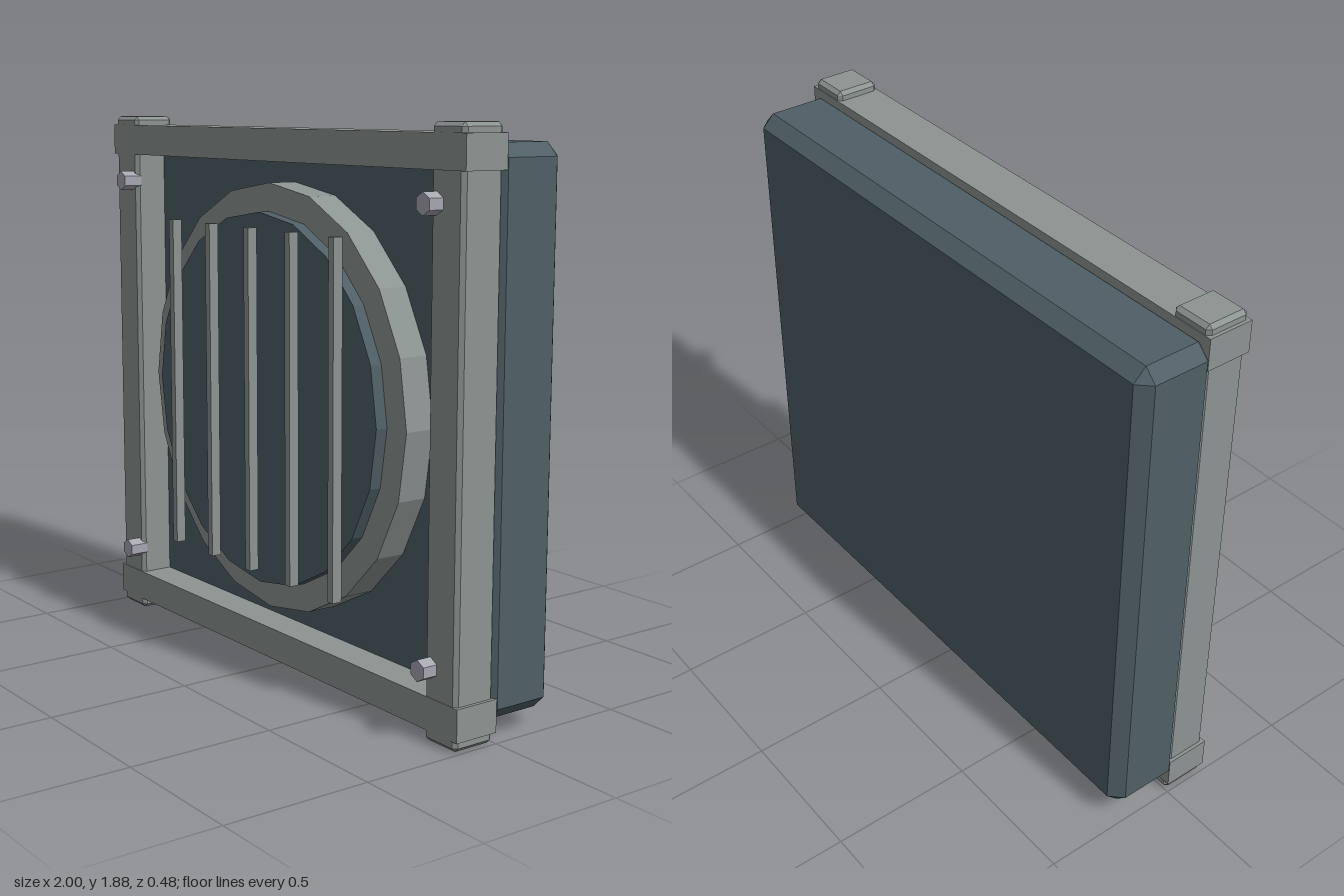
import * as THREE from 'three';
import { ConvexGeometry } from 'three/addons/geometries/ConvexGeometry.js';

const material = (color) => new THREE.MeshStandardMaterial({ color, flatShading: true });

// Box with every edge cut at 45 degrees by c
function chamferedBox(w, h, d, c) {
  const half = [w / 2, h / 2, d / 2];
  const points = [];
  for (const sx of [-1, 1]) for (const sy of [-1, 1]) for (const sz of [-1, 1]) {
    for (let full = 0; full < 3; full++) {
      const p = half.map((v, i) => (i === full ? v : v - c));
      points.push(new THREE.Vector3(p[0] * sx, p[1] * sy, p[2] * sz));
    }
  }
  return new ConvexGeometry(points);
}

// Cylinder lying along z, from z0 to z1
function discAlongZ(radius, z0, z1, sides) {
  return new THREE.CylinderGeometry(radius, radius, z1 - z0, sides)
    .rotateX(Math.PI / 2)
    .translate(0, 0, (z0 + z1) / 2);
}

export function createModel() {
  const group = new THREE.Group();
  const housingMat = material(0x4f5f66);
  const frameMat = material(0x8c9492);
  const boltMat = material(0xa6a6b0);
  const midY = 0.945;

  function add(name, geometry, mat, x = 0, y = 0, z = 0) {
    const mesh = new THREE.Mesh(geometry, mat);
    mesh.name = name;
    mesh.position.set(x, y, z);
    group.add(mesh);
    return mesh;
  }

  // Chamfered housing at the back
  add('housing', chamferedBox(2, 1.76, 0.28, 0.043), housingMat, 0, midY, -0.1);

  // Frame: two posts, two rails
  for (const side of [-1, 1]) {
    const label = side > 0 ? 'left' : 'right';
    add(label + 'Post', chamferedBox(0.147, 1.885, 0.155, 0.013), frameMat, side * 0.915, 0.9425, 0.08);
    const railName = side > 0 ? 'topRail' : 'bottomRail';
    add(railName, new THREE.BoxGeometry(2, 0.108, 0.16), frameMat, 0, midY + side * 0.855, 0.08);

    // Hexagonal bolts on the posts
    for (const up of [-1, 1]) {
      add(label + (up > 0 ? 'Upper' : 'Lower') + 'Bolt',
        discAlongZ(0.035, 0.14, 0.21, 6), boltMat, side * 0.87, midY + up * 0.705);
    }
  }

  // Grille ring and the dark opening that stands proud of it
  add('grilleRing', discAlongZ(0.73, 0.03, 0.145, 20), frameMat, 0, midY);
  add('grilleOpening', discAlongZ(0.635, 0.03, 0.187, 20), housingMat, 0, midY);

  // Vertical bars in front of the opening
  for (let i = -2; i <= 2; i++) {
    add('grilleBar' + (i + 3), new THREE.BoxGeometry(0.027, 1.17, 0.035), frameMat,
      i * 0.235, midY, 0.2225);
  }

  return group;
}
